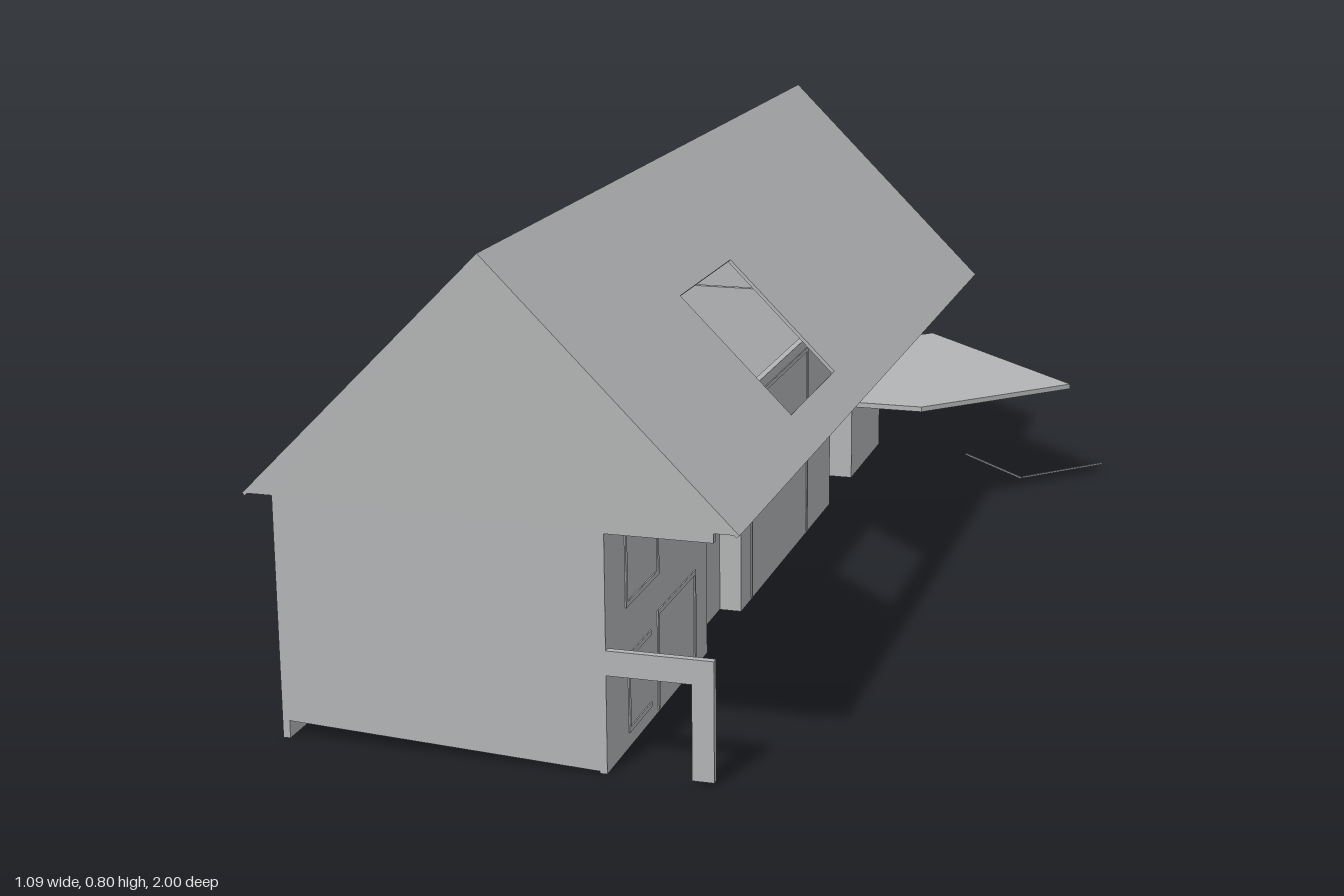
import * as THREE from 'three';

const T = 0.012; // wall thickness
const FRONT = 1, BACK = -0.885;
const EAVE = 0.4, RIDGE_X = -0.15, HALF = 0.4;

export function createModel() {
  const model = new THREE.Group();
  model.name = 'house';
  const grey = new THREE.MeshStandardMaterial({ color: 0xb2b4b5, side: THREE.DoubleSide });
  grey.name = 'pale grey';

  const add = (name, geometry, parent = model) => {
    const mesh = new THREE.Mesh(geometry, grey);
    mesh.name = name;
    parent.add(mesh);
    return mesh;
  };
  // box given by its limits on each axis
  const block = (name, x0, x1, y0, y1, z0, z1, parent) => add(name,
    new THREE.BoxGeometry(x1 - x0, y1 - y0, z1 - z0)
      .translate((x0 + x1) / 2, (y0 + y1) / 2, (z0 + z1) / 2), parent);
  const polygon = (pts) => new THREE.Shape(pts.map(([a, b]) => new THREE.Vector2(a, b)));
  const slab = (shape, depth) => new THREE.ExtrudeGeometry(shape, { depth, bevelEnabled: false });

  // gable walls; the front one has a sloping foot
  const gableTop = [[0.25, EAVE], [RIDGE_X, EAVE + HALF], [-0.55, EAVE], [-0.5, EAVE]];
  add('frontWall', slab(polygon([[-0.5, 0.03], [0.04, 0.003], [0.04, 0.385],
    [0.21, 0.385], [0.21, EAVE], ...gableTop]), T).translate(0, 0, FRONT - T));
  add('backWall', slab(polygon([[-0.5, 0], [0.04, 0], [0.04, EAVE], ...gableTop]), T)
    .translate(0, 0, BACK));

  // two roof slopes, each with a skylight opening
  const r2 = Math.SQRT2;
  for (const side of [1, -1]) {
    const zs = (z) => z * side;
    const shape = polygon([[0, zs(BACK)], [HALF * r2, zs(BACK)], [HALF * r2, zs(FRONT)], [0, zs(FRONT)]]);
    const lo = 0.05 * r2, hi = 0.24 * r2;
    shape.holes.push(new THREE.Path([[lo, 0.21], [hi, 0.21], [hi, 0.51], [lo, 0.51]]
      .map(([s, z]) => new THREE.Vector2(s, zs(z)))));
    const basis = new THREE.Matrix4().makeBasis(
      new THREE.Vector3(-side, 1, 0).normalize(),
      new THREE.Vector3(0, 0, side),
      new THREE.Vector3(side, 1, 0).normalize());
    basis.setPosition(RIDGE_X + side * HALF, EAVE, 0);
    add(side > 0 ? 'leftRoof' : 'rightRoof',
      slab(shape, 0.006).translate(0, 0, -0.006).applyMatrix4(basis));
  }

  // long side walls, broken by the through passage
  for (const [z0, z1] of [[BACK, -0.615], [-0.42, FRONT]]) {
    block('rightWall', -0.5, -0.5 + T, 0, EAVE, z0, z1);
  }
  for (const [z0, z1] of [[BACK, -0.615], [-0.42, 0.25], [0.465, FRONT]]) {
    block('leftWall', 0.04 - T, 0.04, 0, EAVE, z0, z1);
  }
  block('passageWall', -0.5, 0.04, 0, EAVE, -0.615 - T, -0.615);

  // recessed entrance
  block('entranceWall', -T, 0, 0, EAVE, 0.25, 0.465);
  block('entranceReturn', -T, 0.04, 0, EAVE, 0.25 - T, 0.25);
  block('entranceReturn', -T, 0.04, 0, EAVE, 0.465, 0.465 + T);

  // porch frame beside the front wall
  block('porchRail', 0.04, 0.21, 0.16, 0.2, FRONT - T, FRONT);
  block('porchPost', 0.175, 0.21, 0.005, 0.16, FRONT - T, FRONT);

  // window outlines on both long walls
  const W = 0.008;
  for (const [x0, x1, name] of [[0.04 - T - 0.002, 0.042, 'leftWindowTrim'],
    [-0.502, -0.5 + T + 0.002, 'rightWindowTrim']]) {
    const trim = new THREE.Group();
    trim.name = name;
    model.add(trim);
    for (const [z0, z1] of [[0.535, 0.745], [-0.23, 0.185]]) {
      for (const [y0, y1] of [[0.235, 0.38], [0.005, 0.175]]) {
        block('head', x0, x1, y1 - W, y1, z0, z1, trim);
        block('jamb', x0, x1, y0, y1 - W, z0, z0 + W, trim);
        block('jamb', x0, x1, y0, y1 - W, z1 - W, z1, trim);
      }
    }
    for (const [z0, z1, y0, y1] of [[0.745, 0.905, 0.235, 0.375], [0.78, 0.895, 0.025, 0.155]]) {
      block('head', x0, x1, y1 - W, y1, z0, z1, trim);
      block('sill', x0, x1, y0, y0 + W, z0, z1, trim);
      block('jamb', x0, x1, y0, y1, z1 - W, z1, trim);
    }
  }

  // small marks on the back wall
  block('backTrim', -0.31, -0.17, 0.075, 0.081, BACK - 0.002, BACK + 0.002);
  for (const x of [-0.17, -0.08]) {
    block('backTrim', x, x + 0.006, 0.075, 0.12, BACK - 0.002, BACK + 0.002);
  }

  // angled canopy at the back corner
  add('canopy', slab(polygon([[0.04, 0.905], [0.04, 0.37], [0.24, 0.37],
    [0.5, 0.63], [0.135, 1]]), 0.01).rotateX(-Math.PI / 2).translate(0, 0.225, 0));

  // thin ground strips meeting at a right angle
  for (const [x, z, turn] of [[0.468, -0.785, Math.PI / 4], [0.318, -0.778, -Math.PI / 4]]) {
    add('groundStrip', new THREE.BoxGeometry(0.21, 0.003, 0.003)
      .rotateY(turn).translate(x, 0.0015, z));
  }
  return model;
}
